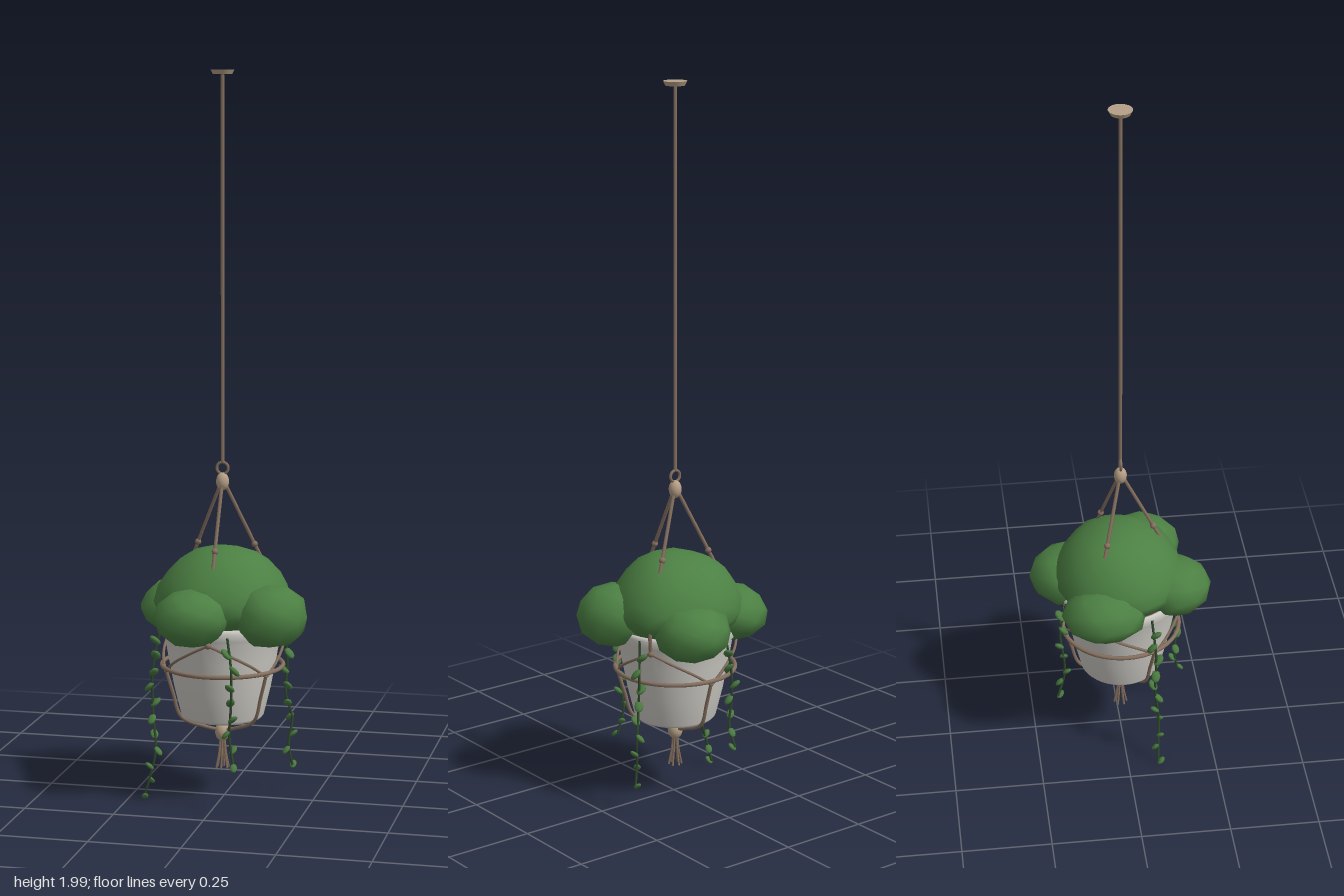
import * as THREE from 'three';
import { mergeVertices } from 'three/addons/utils/BufferGeometryUtils.js';

const material = (color, side = THREE.FrontSide) => new THREE.MeshStandardMaterial({ color, side });
const CX = -0.005; // axis of the hanger and the pot
const V = (x, y, z) => new THREE.Vector3(x, y, z);
const polar = (r, deg, y) => V(CX + r * Math.cos(deg * Math.PI / 180), y, r * Math.sin(deg * Math.PI / 180));

export function createModel() {
  const model = new THREE.Group();
  model.name = 'hangingPlanter';
  const ceramic = material(0xcfccc6, THREE.DoubleSide);
  const cord = material(0x85705f);
  const wood = material(0xb59f86);
  const soilMat = material(0x4a3a2c);
  const green = material(0x4c8043);
  const leafGreen = material(0x4a7a40);
  const stem = material(0x2f4a2b);

  const add = (name, geometry, mat, x = 0, y = 0, z = 0, parent = model) => {
    const mesh = new THREE.Mesh(geometry, mat);
    mesh.name = name;
    mesh.position.set(x, y, z);
    parent.add(mesh);
    return mesh;
  };
  const tube = (name, points, r, mat, parent = model, segments = 20) =>
    add(name, new THREE.TubeGeometry(new THREE.CatmullRomCurve3(points), segments, r, 6), mat, 0, 0, 0, parent);

  // Ceiling plate, long rope, ring and top bead
  add('ceilingPlate', new THREE.CylinderGeometry(0.032, 0.026, 0.012, 24), wood, CX, 1.994, 0);
  add('rope', new THREE.CylinderGeometry(0.005, 0.005, 1.045, 8), cord, CX, 1.465, 0);
  add('ring', new THREE.TorusGeometry(0.016, 0.004, 8, 24), cord, CX, 0.927, 0);
  add('topBead', new THREE.SphereGeometry(0.018, 16, 12), wood, CX, 0.89, 0).scale.y = 1.4;

  // Pot with a thick rim, and the soil
  const profile = [[0, 0.235], [0.107, 0.235], [0.114, 0.243], [0.133, 0.32], [0.15, 0.41], [0.16, 0.47],
    [0.167, 0.478], [0.169, 0.5], [0.163, 0.51], [0.153, 0.505], [0.147, 0.46], [0, 0.46]];
  add('pot', new THREE.LatheGeometry(profile.map(([x, y]) => new THREE.Vector2(x, y)), 40), ceramic, CX);
  add('soil', new THREE.CylinderGeometry(0.148, 0.146, 0.015, 32), soilMat, CX, 0.475, 0);

  // Hoop round the pot
  add('hoop', new THREE.TorusGeometry(0.167, 0.006, 8, 48), cord, CX, 0.382, 0).rotation.x = Math.PI / 2;

  // Three cords, each knotted and split into two strands meeting on the hoop
  for (const angle of [90, 210, 330]) {
    const group = new THREE.Group();
    group.name = 'hangerCord';
    model.add(group);
    tube('cord', [polar(0.004, angle, 0.89), polar(0.098, angle, 0.7), polar(0.178, angle, 0.53),
      polar(0.174, angle, 0.47)], 0.005, cord, group);
    for (const [r, y] of [[0.092, 0.712], [0.174, 0.47]]) {
      const p = polar(r, angle, y);
      add('knot', new THREE.SphereGeometry(0.009, 10, 8), cord, p.x, p.y, p.z, group);
    }
    for (const side of [-1, 1]) {
      tube('strand', [polar(0.174, angle, 0.47), polar(0.167, angle + 20 * side, 0.44),
        polar(0.163, angle + 42 * side, 0.405), polar(0.163, angle + 60 * side, 0.37)], 0.004, cord, group);
    }
    tube('lowerStrand', [polar(0.163, angle + 60, 0.38), polar(0.142, angle + 60, 0.31),
      polar(0.118, angle + 60, 0.24), polar(0.05, angle + 60, 0.208), polar(0.006, angle + 60, 0.195)], 0.005, cord, group);
  }

  // Bottom bead and tassel
  add('bottomBead', new THREE.SphereGeometry(0.021, 16, 12), wood, CX, 0.19, 0).scale.y = 1.25;
  for (let i = 0; i < 6; i++) {
    tube('tasselStrand', [polar(0.005, i * 60 + 30, 0.185), polar(0.01, i * 60 + 30, 0.13),
      polar(0.018, i * 60 + 30, 0.088)], 0.003, cord, model, 6);
  }

  // Uneven leafy clumps
  const clump = (name, [x, y, z], [rx, up, down, rz], detail, seed) => {
    let g = new THREE.IcosahedronGeometry(1, detail);
    g.deleteAttribute('normal');
    g.deleteAttribute('uv');
    g = mergeVertices(g, 1e-4);
    const pos = g.attributes.position;
    for (let i = 0; i < pos.count; i++) {
      const v = V(0, 0, 0).fromBufferAttribute(pos, i);
      const bump = 1 + 0.03 * Math.sin(5 * v.x + seed) * Math.cos(4 * v.z - seed) + 0.02 * Math.sin(6 * v.y + 2 * seed);
      v.multiplyScalar(bump);
      pos.setXYZ(i, v.x * rx, v.y * (v.y > 0 ? up : down), v.z * rz);
    }
    g.computeVertexNormals();
    add(name, g, green, x, y, z);
  };
  clump('mainFoliage', [-0.004, 0.56, -0.003], [0.185, 0.15, 0.1, 0.182], 3, 1);
  clump('leftSideClump', [0.145, 0.54, 0.08], [0.105, 0.088, 0.09, 0.11], 1, 2.1);
  clump('frontClump', [-0.055, 0.54, 0.145], [0.106, 0.08, 0.082, 0.105], 1, 3.3);
  clump('rightSideClump', [-0.145, 0.527, -0.06], [0.105, 0.08, 0.08, 0.118], 1, 4.2);
  clump('backClump', [0.05, 0.527, -0.148], [0.106, 0.08, 0.08, 0.105], 1, 5.4);

  // Trailing vines with flat leaves alternating along the stem
  const leafShape = new THREE.SphereGeometry(1, 8, 6);
  const vines = [
    [[-0.16, 0.5, 0.07], [-0.182, 0.38, 0.08], [-0.183, 0.26, 0.078], [-0.173, 0.15, 0.09], [-0.188, 0.08, 0.088], [-0.205, 0.02, 0.086]],
    [[0.045, 0.49, 0.16], [0.06, 0.4, 0.178], [0.058, 0.3, 0.175], [0.052, 0.22, 0.165], [0.066, 0.14, 0.176]],
    [[0.155, 0.5, -0.05], [0.165, 0.38, -0.06], [0.162, 0.3, -0.052], [0.178, 0.22, -0.066], [0.17, 0.15, -0.055], [0.18, 0.09, -0.062]],
    [[-0.055, 0.5, -0.16], [-0.062, 0.4, -0.178], [-0.07, 0.3, -0.168], [-0.062, 0.24, -0.17], [-0.07, 0.18, -0.188]],
  ];
  vines.forEach((points, n) => {
    const group = new THREE.Group();
    group.name = 'vine';
    model.add(group);
    const path = points.map(p => V(...p));
    tube('stem', path, 0.0035, stem, group, 30);
    const curve = new THREE.CatmullRomCurve3(path);
    const count = Math.round(curve.getLength() / 0.046);
    for (let i = 1; i <= count; i++) {
      const p = curve.getPointAt(i / count);
      const turn = i * 2.4 + n;
      const size = 0.021 - 0.007 * i / count;
      const leaf = add('leaf', leafShape, leafGreen,
        p.x + 0.009 * Math.cos(turn), p.y, p.z + 0.009 * Math.sin(turn), group);
      leaf.scale.set(size, size * 0.4, size * 0.7);
      leaf.rotation.set(0, -turn, i % 2 ? 0.7 : -0.8);
    }
  });

  return model;
}
